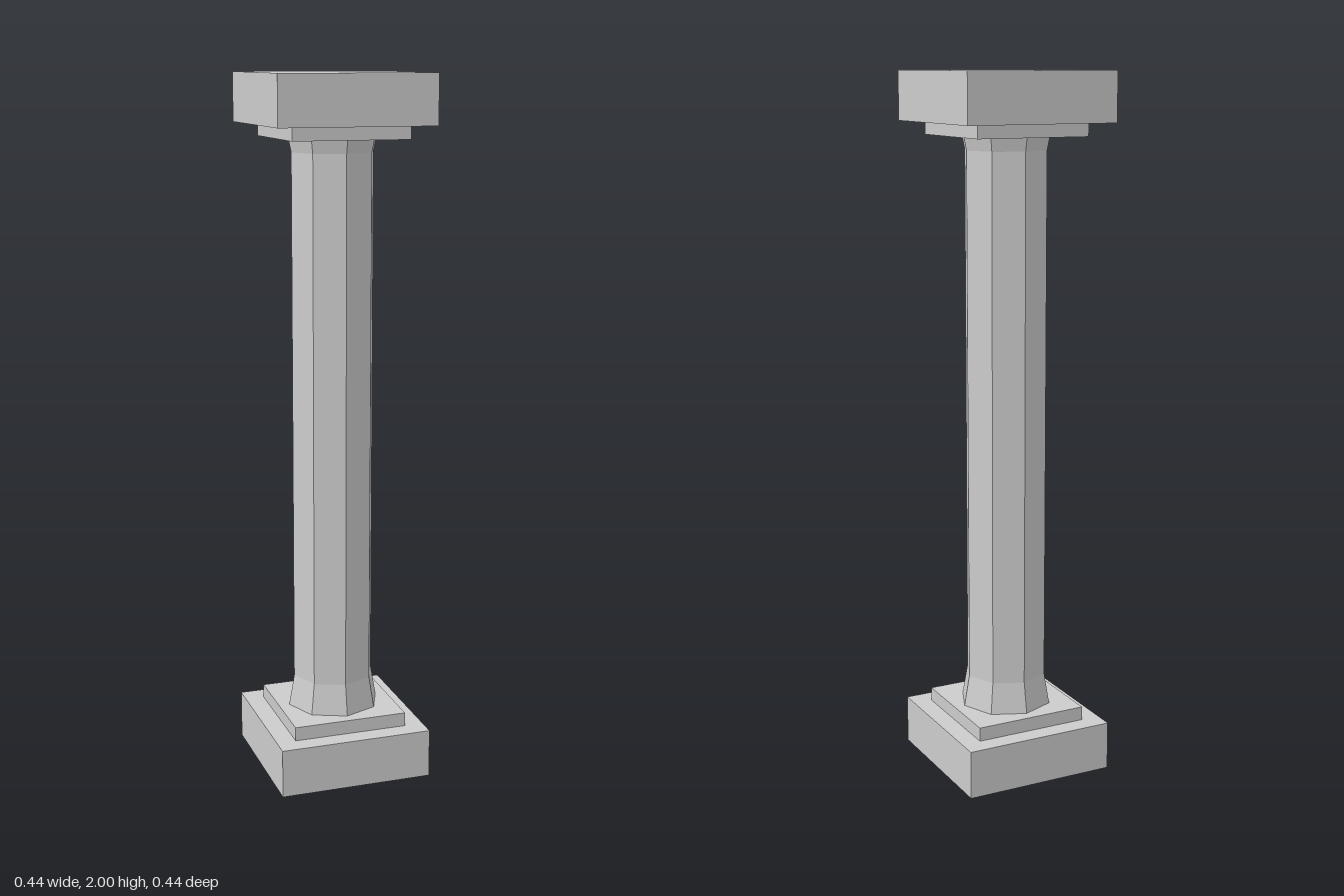
import * as THREE from 'three';

const material = new THREE.MeshStandardMaterial({ color: 0xcccccc, flatShading: true });

// Square slab spanning y0..y1
function slab(name, width, y0, y1) {
  const mesh = new THREE.Mesh(new THREE.BoxGeometry(width, y1 - y0, width), material);
  mesh.position.y = (y0 + y1) / 2;
  mesh.name = name;
  return mesh;
}

export function createModel() {
  const column = new THREE.Group();
  column.name = 'column';

  // Stepped base and capital
  column.add(
    slab('basePlinth', 0.444, 0, 0.14),
    slab('baseStep', 0.333, 0.14, 0.18),
    slab('capitalStep', 0.333, 1.825, 1.862),
    slab('capitalSlab', 0.444, 1.862, 2),
  );

  // Octagonal shaft, flared at both ends, with a corner facing the front
  const profile = [[0.135, 0.18], [0.119, 0.27], [0.119, 1.787], [0.127, 1.825]]
    .map(([r, y]) => new THREE.Vector2(r, y));
  const shaft = new THREE.Mesh(new THREE.LatheGeometry(profile, 8), material);
  shaft.name = 'shaft';
  column.add(shaft);

  return column;
}
